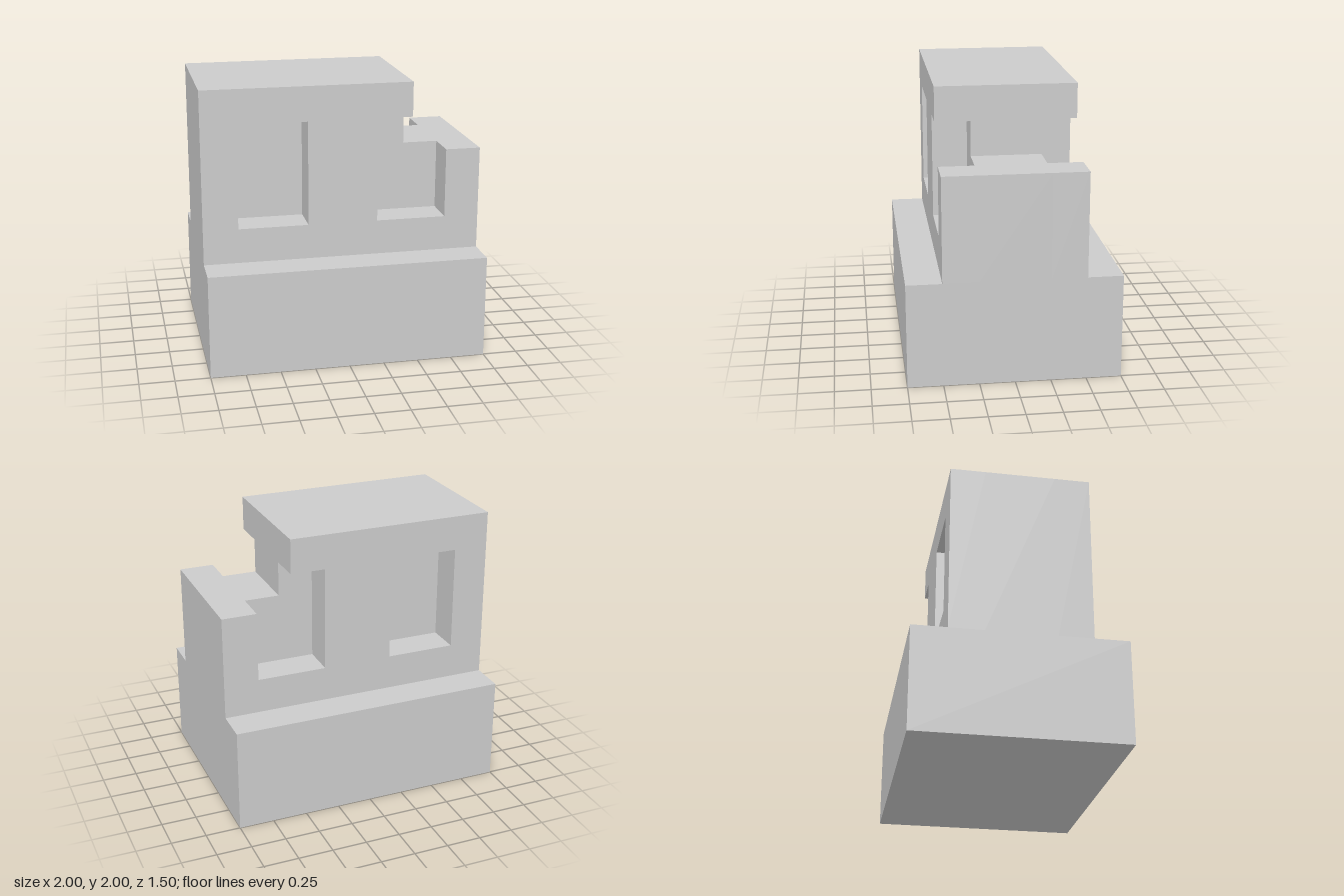
import * as THREE from 'three';

const material = new THREE.MeshStandardMaterial({ color: 0xcccccc, flatShading: true });

function toPath(Type, points) {
  return new Type(points.map(([x, y]) => new THREE.Vector2(x, y)));
}

// Extrudes an outline in the xy plane from z = start to z = start + depth
function slab(name, outline, start, depth, holes = []) {
  const shape = toPath(THREE.Shape, outline);
  holes.forEach((hole) => shape.holes.push(toPath(THREE.Path, hole)));
  const geometry = new THREE.ExtrudeGeometry(shape, { depth, bevelEnabled: false });
  geometry.translate(0, 0, start);
  const mesh = new THREE.Mesh(geometry, material);
  mesh.name = name;
  return mesh;
}

export function createModel() {
  const model = new THREE.Group();
  model.name = 'steppedBlock';

  // Wide base
  const base = new THREE.Mesh(new THREE.BoxGeometry(2, 0.75, 1.5), material);
  base.name = 'base';
  base.position.y = 0.375;
  model.add(base);

  // Solid core with the corner step, closing the backs of the recesses
  const core = [[-1, 0.75], [1, 0.75], [1, 1.5], [0.5, 1.5], [0.5, 2], [-1, 2]];
  model.add(slab('core', core, -0.25, 0.5));

  // Outer walls: one whole window recess, one cut open by the corner step
  const wall = [
    [-1, 0.75], [1, 0.75], [1, 1.5], [0.75, 1.5], [0.75, 1],
    [0.25, 1], [0.25, 1.75], [0.5, 1.75], [0.5, 2], [-1, 2],
  ];
  const windowHole = [[-0.75, 1], [-0.75, 1.75], [-0.25, 1.75], [-0.25, 1]];
  model.add(slab('frontWall', wall, 0.25, 0.25, [windowHole]));
  model.add(slab('backWall', wall, -0.5, 0.25, [windowHole]));

  return model;
}
